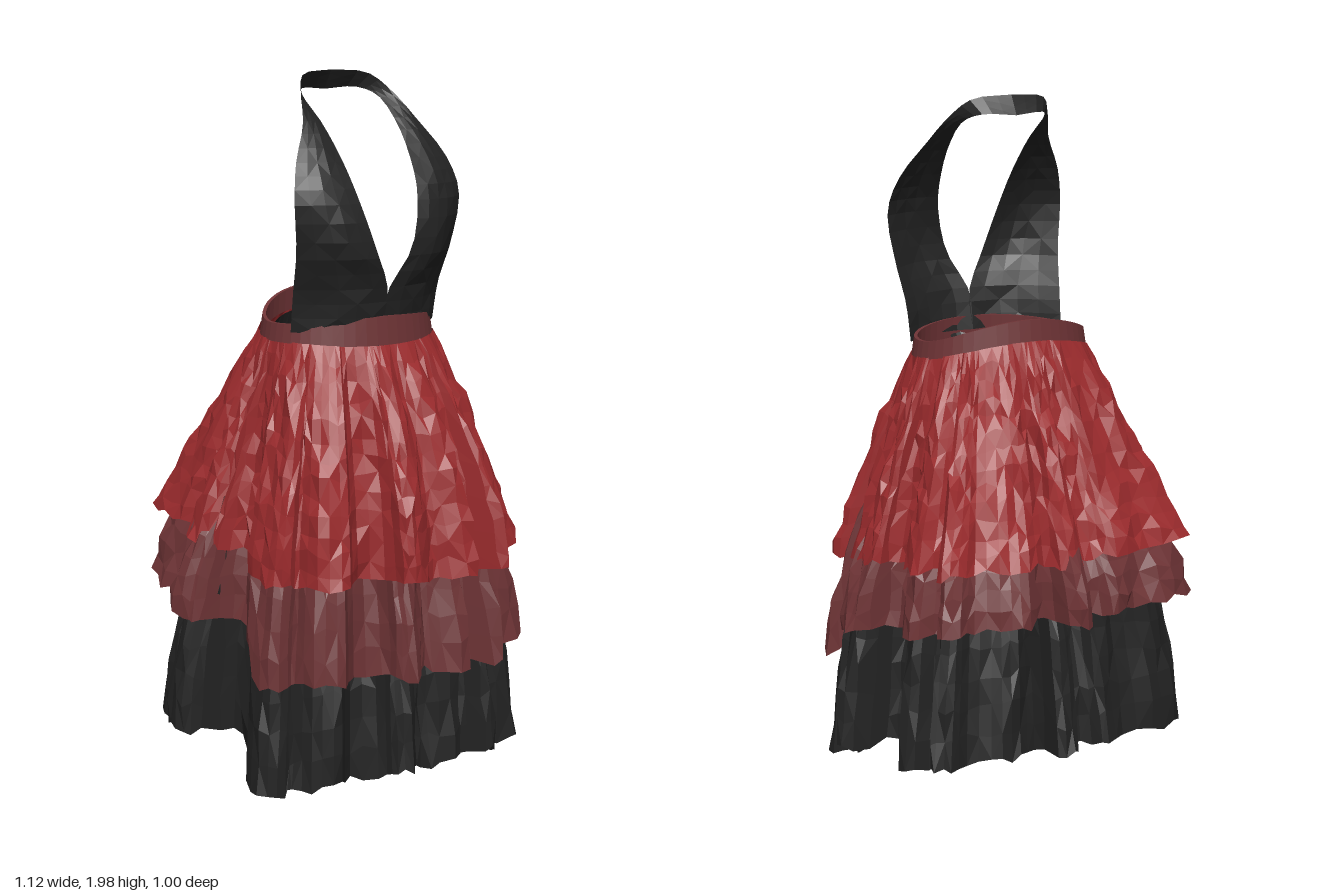
import * as THREE from 'three';

const paint = (name, color) => {
  const m = new THREE.MeshStandardMaterial({ color, side: THREE.DoubleSide });
  m.name = name;
  return m;
};

// repeatable noise in -1..1 for the crumpled cloth
const noise = (i, j, k) => {
  const s = Math.sin(i * 127.1 + j * 311.7 + k * 74.7) * 43758.5453;
  return (s - Math.floor(s)) * 2 - 1;
};

// faceted sheet through the points at(u, v, column, row); closed sheets wrap in u
function sheet(name, material, cols, rows, closed, at) {
  const pos = [], index = [];
  for (let j = 0; j <= rows; j++) {
    for (let i = 0; i <= cols; i++) {
      const c = closed ? i % cols : i;
      pos.push(...at(c / cols, j / rows, c, j));
    }
  }
  const w = cols + 1;
  for (let j = 0; j < rows; j++) {
    for (let i = 0; i < cols; i++) {
      const a = j * w + i, b = a + 1, c = a + w, d = c + 1;
      if ((i + j) % 2) index.push(a, c, b, b, c, d);
      else index.push(a, c, d, a, d, b);
    }
  }
  let g = new THREE.BufferGeometry();
  g.setAttribute('position', new THREE.Float32BufferAttribute(pos, 3));
  g.setIndex(index);
  g = g.toNonIndexed();
  g.computeVertexNormals();
  const mesh = new THREE.Mesh(g, material);
  mesh.name = name;
  return mesh;
}

// value by direction: c = 1 at the front, 0 at the sides, -1 at the back
const around = (c, [front, side, back]) =>
  side + c * c * ((c > 0 ? front : back) - side);

// height along a line of [z, y] points
function heightAt(line, z) {
  const k = line.findIndex((p) => p[0] >= z);
  if (k === 0) return line[0][1];
  if (k < 0) return line[line.length - 1][1];
  const [z0, y0] = line[k - 1], [z1, y1] = line[k];
  return y0 + (y1 - y0) * (z - z0) / (z1 - z0);
}

// pulls in whatever reaches past the limit
const soften = (x, limit) =>
  Math.abs(x) > limit ? Math.sign(x) * (limit + (Math.abs(x) - limit) * 0.4) : x;

const WAIST = { x: 0.25, z: 0.19, cz: 0.06 };

// outline of the pleats at the hem, as x, z pairs
const PLEATS = [
  -0.05, 0.5, 0.02, 0.43, 0.06, 0.46, 0.15, 0.48, 0.18, 0.41, 0.25, 0.5, 0.29, 0.44,
  0.31, 0.33, 0.43, 0.33, 0.47, 0.27, 0.4, 0.23, 0.42, 0.18, 0.39, 0.07, 0.53, 0.03,
  0.57, -0.03, 0.52, -0.08, 0.4, -0.07, 0.36, -0.14, 0.44, -0.2, 0.42, -0.27,
  0.34, -0.28, 0.4, -0.37, 0.36, -0.41, 0.28, -0.36, 0.21, -0.41, 0.14, -0.41,
  0.07, -0.37, 0.04, -0.5, -0.02, -0.49, -0.03, -0.36, -0.1, -0.38, -0.14, -0.41,
  -0.24, -0.37, -0.35, -0.35, -0.46, -0.28, -0.46, -0.18, -0.4, -0.08, -0.54, -0.05,
  -0.56, 0.02, -0.49, 0.05, -0.39, 0.06, -0.38, 0.14, -0.44, 0.21, -0.44, 0.3,
  -0.4, 0.35, -0.35, 0.33, -0.33, 0.41, -0.26, 0.44, -0.18, 0.37, -0.1, 0.41, -0.09, 0.48,
];
const pleatPoints = [];
for (let i = 0; i < PLEATS.length; i += 2) {
  pleatPoints.push(new THREE.Vector3(PLEATS[i], 0, PLEATS[i + 1]));
}
const pleatCurve = new THREE.CatmullRomCurve3(pleatPoints, true);

// one layer of the skirt, from its seam down to its hem
function tier(name, material, o) {
  return sheet(name, material, 120, o.rows, true, (u, v, i, j) => {
    const p = pleatCurve.getPoint(u);
    const a = Math.atan2(p.x, p.z - WAIST.cz), c = Math.cos(a), s = Math.sin(a);
    const f = o.start + (1 - o.start) * (1 - Math.pow(1 - v, around(c, o.curve)));
    const wx = WAIST.x * s, wz = WAIST.cz + WAIST.z * c;
    const tx = soften(p.x, o.limitX);
    const tz = p.z > 0 ? p.z * o.front : soften(p.z * o.back, o.limitZ);
    const fold = (Math.sin(u * Math.PI * 2 * 25 + Math.sin(v * 5 + o.seed)) * 0.008
      + noise(i, j, o.seed) * 0.008) * Math.min(1, Math.max(0, f) * 3);
    const top = around(c, o.top), hem = heightAt(o.hem, tz);
    const drop = v > 0 ? noise(i, j, o.seed + 5) * 0.012 : 0;
    return [
      wx + (tx - wx) * f + s * fold,
      top + (hem - top) * v + drop,
      wz + (tz - wz) * f + c * fold,
    ];
  });
}

// edges of one half of the halter, from the waist up to the back of the neck
const innerEdge = new THREE.CatmullRomCurve3([
  [0, 1.29, 0.235], [0, 1.4, 0.26], [0.06, 1.52, 0.29], [0.1, 1.66, 0.26], [0.115, 1.76, 0.205],
  [0.125, 1.86, 0.12], [0.125, 1.93, 0.025], [0.09, 1.95, -0.03], [0, 1.945, -0.05],
].map((p) => new THREE.Vector3(...p)));
const outerEdge = new THREE.CatmullRomCurve3([
  [0.245, 1.29, 0.14], [0.25, 1.4, 0.16], [0.265, 1.52, 0.2], [0.28, 1.66, 0.215], [0.255, 1.76, 0.185],
  [0.195, 1.86, 0.13], [0.155, 1.94, 0.06], [0.11, 1.99, 0.005], [0, 2, -0.018],
].map((p) => new THREE.Vector3(...p)));

export function createModel() {
  const model = new THREE.Group();
  const red = paint('red cloth', 0x9c2b2d);
  const wine = paint('wine cloth', 0x6f3436);
  const black = paint('black cloth', 0x232323);

  // two overskirts and the long underskirt that lines them
  model.add(tier('upperSkirt', red, {
    rows: 13, start: 0.06, curve: [1.7, 1.05, 1.05], seed: 1,
    front: 1, back: 1, limitX: 0.42, limitZ: 0.39, top: [1.25, 1.265, 1.32],
    hem: [[-0.45, 0.74], [-0.2, 0.73], [0, 0.7], [0.2, 0.65], [0.4, 0.615]],
  }));
  model.add(tier('middleFlounce', wine, {
    rows: 6, start: 0.55, curve: [1.5, 1.5, 1.5], seed: 2,
    front: 0.95, back: 1, limitX: 0.52, limitZ: 1, top: [0.8, 0.83, 0.88],
    hem: [[-0.5, 0.58], [-0.35, 0.57], [-0.2, 0.53], [0, 0.5], [0.19, 0.45], [0.26, 0.34]],
  }));
  model.add(tier('underskirt', black, {
    rows: 14, start: -0.06, curve: [1.35, 1.5, 1.2], seed: 3,
    front: 0.91, back: 0.85, limitX: 1, limitZ: 1, top: [1.255, 1.265, 1.315],
    hem: [[-0.4, 0.18], [-0.2, 0.13], [0, 0.18], [0.08, 0.14], [0.16, 0.04], [0.32, 0.025], [0.45, 0.07]],
  }));

  // waistband, a closed strip with thickness that rises at the back
  const section = [[0, 0], [0.014, 0], [0.006, 1], [-0.004, 1], [0, 0]];
  model.add(sheet('waistband', wine, 48, 4, true, (u, v, i, j) => {
    const a = u * Math.PI * 2, c = Math.cos(a), [out, up] = section[j];
    const low = around(c, [1.25, 1.26, 1.315]), high = around(c, [1.33, 1.31, 1.38]);
    return [
      Math.sin(a) * (WAIST.x + out),
      low + (high - low) * up,
      WAIST.cz + c * (WAIST.z + out),
    ];
  }));

  // halter bodice: two mirrored halves that join behind the neck
  const bodice = new THREE.Group();
  bodice.name = 'halterBodice';
  for (const side of [1, -1]) {
    bodice.add(sheet(side > 0 ? 'leftHalter' : 'rightHalter', black, 5, 22, false, (u, v, i, j) => {
      const p = innerEdge.getPoint(v).lerp(outerEdge.getPoint(v), u);
      const bulge = Math.sin(u * Math.PI) * Math.max(0, 1 - v * 1.3);
      const crumple = bulge * noise(i, j, side) * 0.008;
      return [side * p.x, p.y, p.z + bulge * 0.043 + crumple];
    }));

    // loose folds gathered inside the front of the waist
    bodice.add(sheet('innerFold', black, 10, 4, true, (u, v, i, j) => {
      const a = u * Math.PI * 2, r = 0.035 + 0.008 * v;
      return [
        side * (0.045 + Math.cos(a) * r) + noise(i, j, side) * 0.006,
        1.27 - 0.1 * v + Math.sin(a) * 0.015,
        0.22 - 0.08 * v + Math.sin(a) * r * 0.8,
      ];
    }));
  }
  model.add(bodice);
  return model;
}
